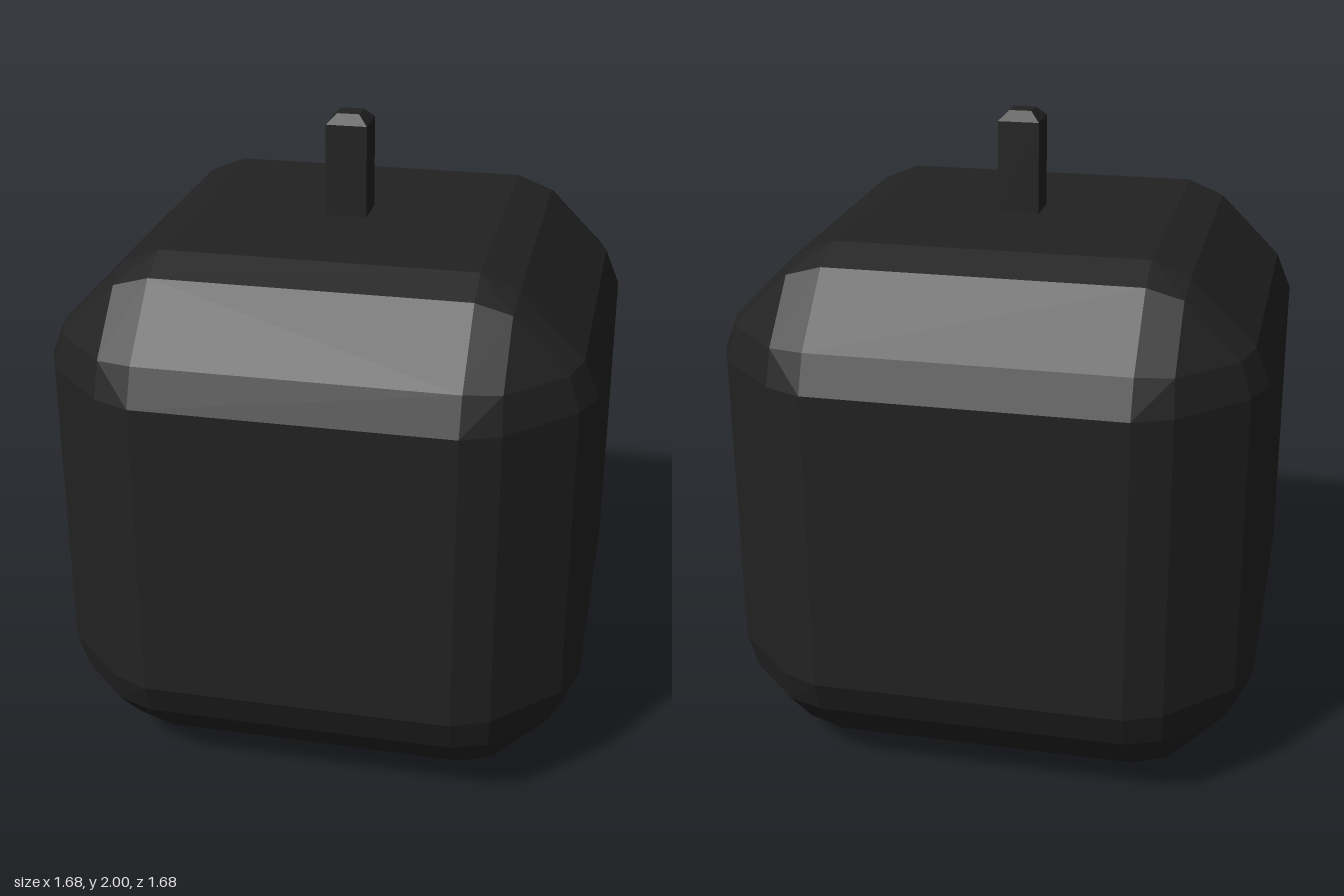
import * as THREE from 'three';
import { ConvexGeometry } from 'three/addons/geometries/ConvexGeometry.js';

const charcoal = new THREE.MeshStandardMaterial({ color: 0x222222 });
charcoal.name = 'charcoal';

// Convex block from one octant of points, mirrored into all eight
function mirroredHull(octant) {
  const points = [];
  for (const [x, y, z] of octant)
    for (const sx of [-1, 1])
      for (const sy of [-1, 1])
        for (const sz of [-1, 1]) points.push(new THREE.Vector3(x * sx, y * sy, z * sz));
  return new ConvexGeometry(points);
}

function addPart(group, name, geometry, y) {
  const mesh = new THREE.Mesh(geometry, charcoal);
  mesh.name = name;
  mesh.position.y = y;
  group.add(mesh);
}

export function createModel() {
  const group = new THREE.Group();
  group.name = 'bevelledCubeWithStem';

  // Body: cube with three-step bevels and faceted corners
  const flat = 0.48;
  const bevel = [
    [0.36, 0, 0], // corner of a flat face
    [0.312, 0.115, 0], // steps along the edge bevels
    [0.312, 0, 0.115],
    [0.28, 0.11, 0.11], // inside the corner patch
  ];
  const octant = [];
  for (const p of bevel)
    for (let turn = 0; turn < 3; turn++)
      octant.push([0, 1, 2].map((i) => flat + p[(i + turn) % 3]));
  addPart(group, 'body', mirroredHull(octant), 0.84);

  // Stem: square post with a chamfered cap
  const stem = new THREE.BoxGeometry(0.13, 0.29, 0.13);
  addPart(group, 'stem', stem, 1.825);
  const cap = new THREE.CylinderGeometry(0.035 * Math.SQRT2, 0.065 * Math.SQRT2, 0.03, 4).toNonIndexed();
  cap.rotateY(Math.PI / 4);
  cap.computeVertexNormals();
  addPart(group, 'stemCap', cap, 1.985);

  return group;
}
